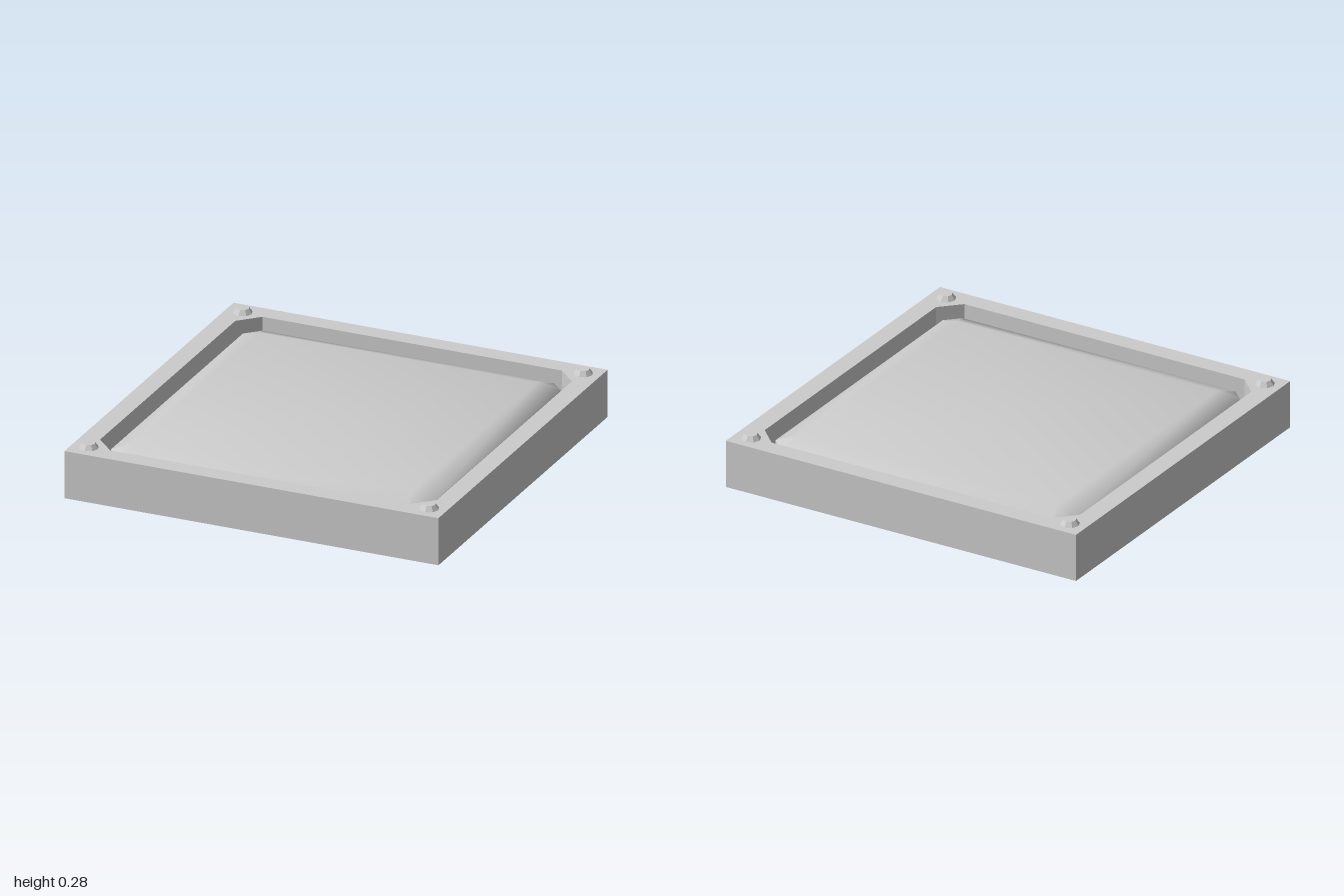
import * as THREE from 'three';
import { toCreasedNormals } from 'three/addons/utils/BufferGeometryUtils.js';

const material = new THREE.MeshStandardMaterial({ color: 0xcccccc });

// Square ring of half-width h at height y, corners cut by c, anticlockwise from above
function ring([h, c, y]) {
  const points = [];
  let pair = [[h - c, h], [h, h - c]];
  for (let k = 0; k < 4; k++) {
    for (const [x, z] of pair) points.push(new THREE.Vector3(x, y, z));
    pair = pair.map(([x, z]) => [z, -x]);
  }
  return points;
}

// Skin stretched over successive [half-width, corner cut, height] rings
function loft(profile, crease) {
  const rings = profile.map(ring);
  const positions = [];
  const addTriangle = (...corners) => {
    if (new THREE.Triangle(...corners).getArea() < 1e-7) return;
    for (const p of corners) positions.push(p.x, p.y, p.z);
  };
  for (let i = 0; i + 1 < rings.length; i++) {
    for (let k = 0; k < 8; k++) {
      const n = (k + 1) % 8;
      addTriangle(rings[i][k], rings[i][n], rings[i + 1][n]);
      addTriangle(rings[i][k], rings[i + 1][n], rings[i + 1][k]);
    }
  }
  const geometry = new THREE.BufferGeometry();
  geometry.setAttribute('position', new THREE.Float32BufferAttribute(positions, 3));
  return toCreasedNormals(geometry, crease);
}

export function createModel() {
  const model = new THREE.Group();
  model.name = 'floorPanel';
  const add = (name, geometry, mat = material) => {
    const mesh = new THREE.Mesh(geometry, mat);
    mesh.name = name;
    model.add(mesh);
    return mesh;
  };

  // Square base with a raised rim and the outer wall and floor of the groove
  add('baseAndRim', loft([
    [0, 0, 0], [1, 0, 0], [1, 0, 0.25],
    [0.9, 0.1, 0.25], [0.9, 0.1, 0.12], [0.85, 0.07, 0.12],
  ], 0.6));

  // Centre plate: upright edge, softly shaded bevel, flat top
  add('centrePlate', loft([
    [0.85, 0.07, 0.12], [0.85, 0.07, 0.2], [0.74, 0, 0.24], [0, 0, 0.24],
  ], 1.3));

  // Tapered bolt head in each corner of the rim
  const boltMaterial = material.clone();
  boltMaterial.flatShading = true;
  const boltGeometry = new THREE.CylinderGeometry(0.032, 0.05, 0.025, 8);
  for (const x of [-0.91, 0.91]) {
    for (const z of [-0.91, 0.91]) {
      add('cornerBolt', boltGeometry, boltMaterial).position.set(x, 0.2625, z);
    }
  }
  return model;
}
